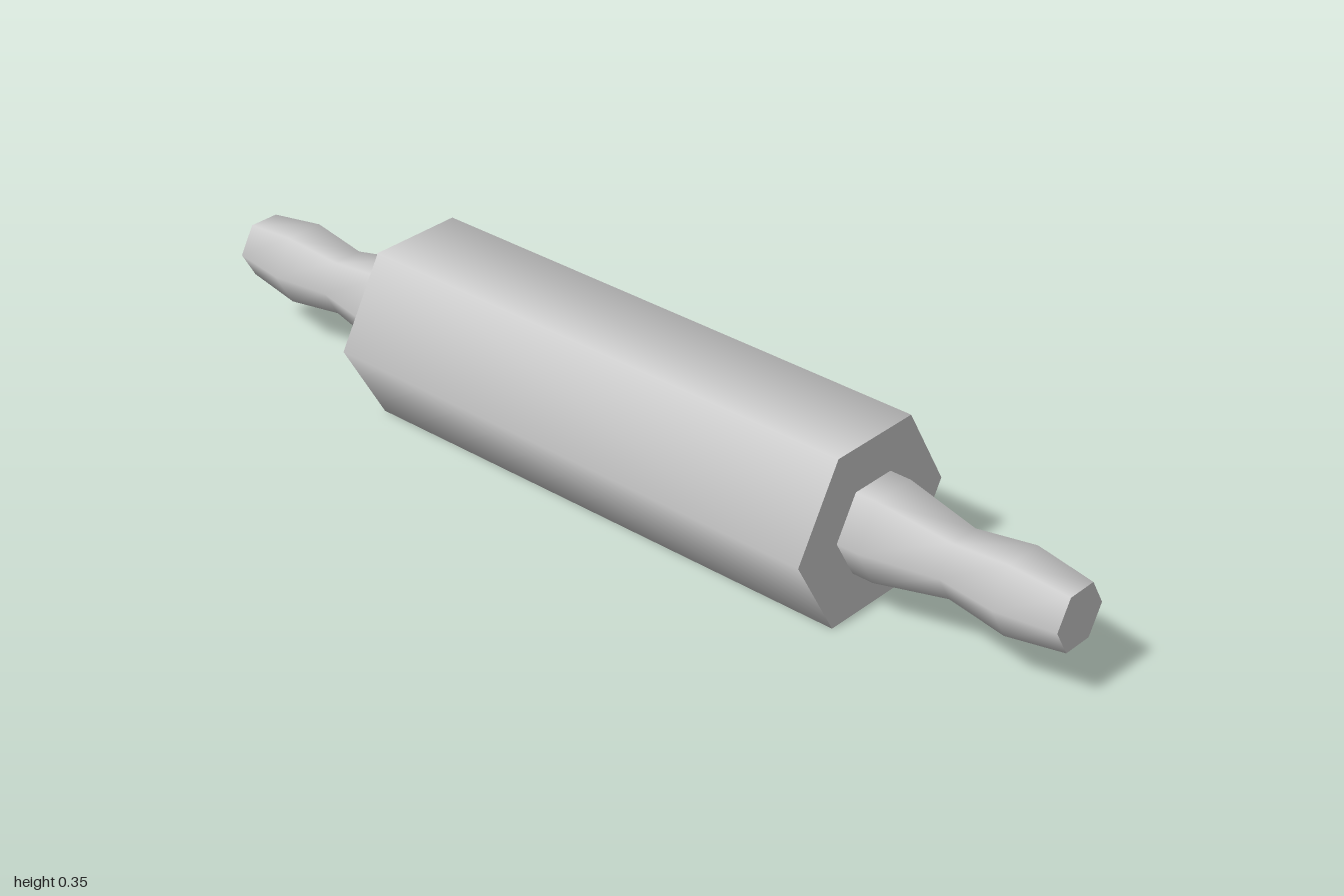
import * as THREE from 'three';

const SIDES = 6;
const RADIUS = 0.2;
const HALF_BODY = 0.56;
const AXIS_Y = RADIUS * Math.cos(Math.PI / SIDES); // body rests on a flat side

// Handle profile: [distance from centre, radius]
const PROFILE = [
  [HALF_BODY, 0.096], [0.605, 0.096], [0.757, 0.065], [0.88, 0.082], [1, 0.064],
];

export function createModel() {
  const material = new THREE.MeshStandardMaterial({ color: 0xcccccc });
  const model = new THREE.Group();
  model.name = 'rollingPin';

  const addMesh = (parent, name, geometry) => {
    const mesh = new THREE.Mesh(geometry, material);
    mesh.name = name;
    parent.add(mesh);
    return mesh;
  };

  // Six-sided roller lying along x
  const roller = new THREE.CylinderGeometry(RADIUS, RADIUS, HALF_BODY * 2, SIDES);
  roller.rotateZ(-Math.PI / 2);
  addMesh(model, 'roller', roller).position.y = AXIS_Y;

  // Turned grip and its flat end
  const grip = new THREE.LatheGeometry(PROFILE.map(([x, r]) => new THREE.Vector2(r, x)), SIDES);
  grip.rotateZ(-Math.PI / 2);
  const [tipX, tipRadius] = PROFILE[PROFILE.length - 1];
  const tip = new THREE.CircleGeometry(tipRadius, SIDES);
  tip.rotateY(Math.PI / 2);
  tip.translate(tipX, 0, 0);

  // One handle on each end
  for (const [name, turn] of [['leftHandle', 0], ['rightHandle', Math.PI]]) {
    const handle = new THREE.Group();
    handle.name = name;
    handle.position.y = AXIS_Y;
    handle.rotation.y = turn;
    addMesh(handle, 'grip', grip);
    addMesh(handle, 'gripEnd', tip);
    model.add(handle);
  }
  return model;
}
